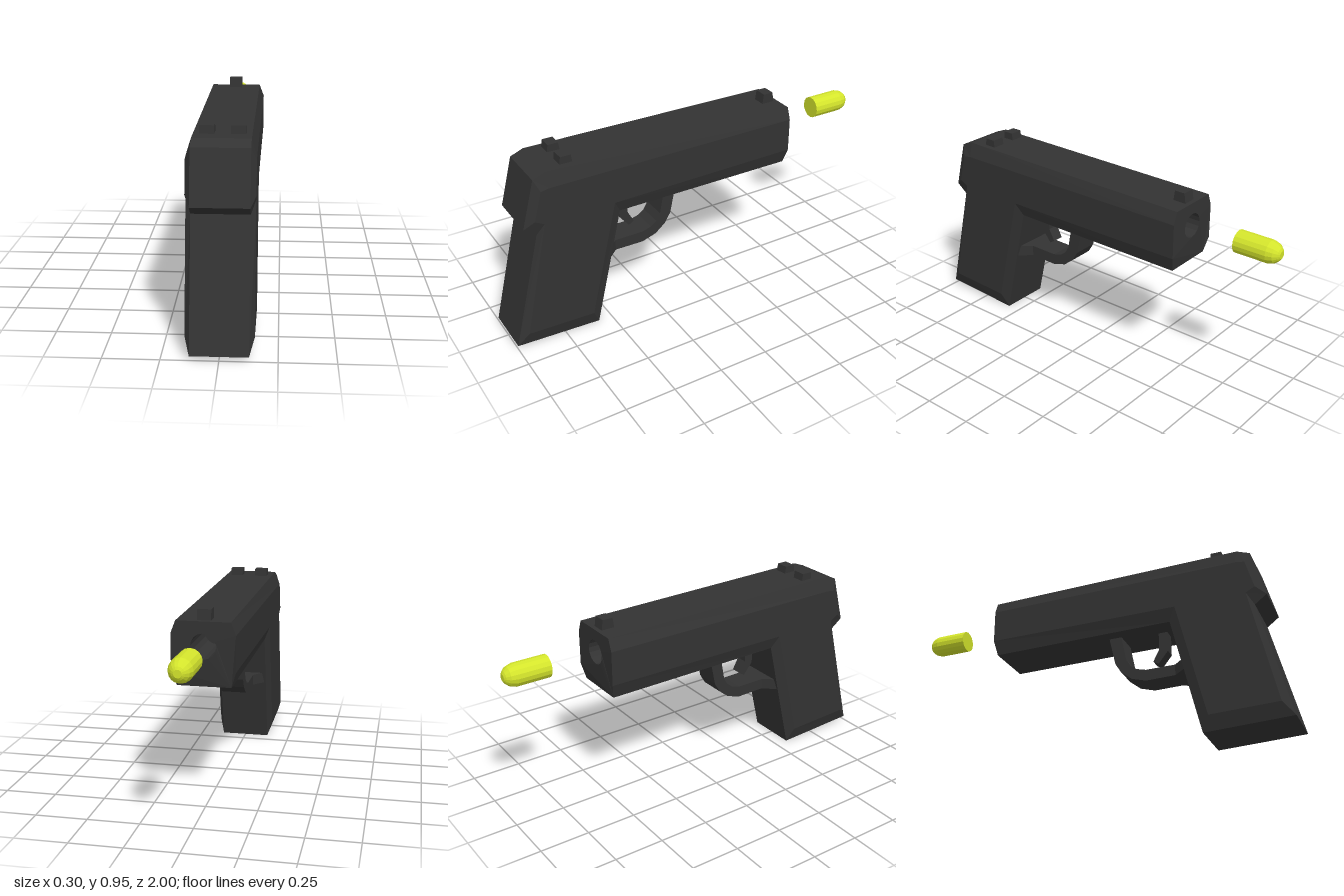
import * as THREE from 'three';

const dark = new THREE.MeshStandardMaterial({ color: 0x333333, flatShading: true });
const yellow = new THREE.MeshStandardMaterial({ color: 0xd4e52c, flatShading: true });

// Skins rings of [x, y, z] points and closes both ends with the given cap triangles
function loft(rings, cap, skipEdge = -1) {
  const pos = [];
  const tri = (a, b, c) => pos.push(...a, ...b, ...c);
  const n = rings[0].length;
  for (let r = 0; r < rings.length - 1; r++) {
    const A = rings[r], B = rings[r + 1];
    for (let i = 0; i < n; i++) {
      if (i === skipEdge) continue;
      const j = (i + 1) % n;
      tri(A[i], B[i], B[j]);
      tri(A[i], B[j], A[j]);
    }
  }
  const first = rings[0], last = rings[rings.length - 1];
  for (const [a, b, c] of cap) {
    tri(first[a], first[b], first[c]);
    tri(last[a], last[c], last[b]);
  }
  const g = new THREE.BufferGeometry();
  g.setAttribute('position', new THREE.Float32BufferAttribute(pos, 3));
  g.computeVertexNormals();
  return g;
}

// Rectangular strip through sections [frontZ, frontY, backZ, backY, halfWidth]
function strip(sections) {
  const rings = sections.map(([oz, oy, iz, iy, w]) =>
    [[w, oy, oz], [-w, oy, oz], [-w, iy, iz], [w, iy, iz]]);
  return loft(rings, [[0, 1, 2], [0, 2, 3]]);
}

export function createModel() {
  const model = new THREE.Group();
  const add = (name, geometry, material = dark, parent = model) => {
    const mesh = new THREE.Mesh(geometry, material);
    mesh.name = name;
    parent.add(mesh);
    return mesh;
  };

  // Slide and grip: side profile [z, y], with a smaller profile on each flank for the bevel
  const outer = [[0.85, 0.89], [0.785, 0.915], [-0.53, 0.9], [-0.515, 0.595], [0.43, 0.6],
    [0.57, 0], [1, 0.02], [0.855, 0.605], [0.915, 0.65]];
  const inner = [[0.825, 0.835], [0.78, 0.842], [-0.53, 0.84], [-0.53, 0.67], [0.465, 0.665],
    [0.605, 0.075], [0.945, 0.088], [0.82, 0.665], [0.865, 0.69]];
  const ring = (profile, x) => profile.map(([z, y]) => [x, y, z]);
  const cap = THREE.ShapeUtils.triangulateShape(inner.map(p => new THREE.Vector2(...p)), []);
  add('slideAndGrip', loft([ring(inner, -0.15), ring(outer, -0.127),
    ring(outer, 0.127), ring(inner, 0.15)], cap, 2));

  // Muzzle face with the bore opening
  const boreY = 0.785, boreR = 0.06, boreDepth = 0.3;
  const half = [[0.127, 0.595], [0.15, 0.67], [0.15, 0.84], [0.127, 0.9]];
  const outline = [...half, ...half.map(([x, y]) => [-x, y]).reverse()];
  const face = new THREE.Shape(outline.map(p => new THREE.Vector2(...p)));
  face.holes.push(new THREE.Path().absarc(0, boreY, boreR, 0, Math.PI * 2, true));
  const muzzle = new THREE.ShapeGeometry(face, 8).rotateY(Math.PI).translate(0, 0, -0.53);
  const mp = muzzle.attributes.position;
  for (let i = 0; i < mp.count; i++) if (mp.getY(i) < 0.6) mp.setZ(i, -0.515);
  add('muzzleFace', muzzle);

  // Bore wall and end
  const boreMaterial = dark.clone();
  boreMaterial.side = THREE.BackSide;
  add('bore', new THREE.CylinderGeometry(boreR, boreR, boreDepth, 16, 1, true)
    .rotateX(Math.PI / 2).translate(0, boreY, -0.53 + boreDepth / 2), boreMaterial);
  add('boreEnd', new THREE.CircleGeometry(boreR, 16)
    .rotateY(Math.PI).translate(0, boreY, -0.53 + boreDepth));

  // Sights: small blocks, slightly narrower in length at the top
  const sight = (name, x, z) => {
    const g = new THREE.BoxGeometry(0.065, 0.06, 0.07);
    const p = g.attributes.position;
    for (let i = 0; i < p.count; i++) if (p.getY(i) > 0) p.setZ(i, p.getZ(i) * 0.75);
    add(name, g).position.set(x, 0.92, z);
  };
  sight('frontSight', 0, -0.475);
  for (const s of [-1, 1]) sight(s > 0 ? 'rearSightLeft' : 'rearSightRight', s * 0.0675, 0.675);

  // Trigger guard, flaring where it meets the grip
  add('triggerGuard', strip([
    [0.085, 0.62, 0.15, 0.62, 0.065],
    [0.12, 0.455, 0.178, 0.47, 0.065],
    [0.15, 0.405, 0.2, 0.432, 0.065],
    [0.205, 0.36, 0.232, 0.408, 0.065],
    [0.28, 0.337, 0.28, 0.395, 0.065],
    [0.43, 0.34, 0.43, 0.396, 0.065],
    [0.5, 0.34, 0.5, 0.398, 0.127],
  ]));

  // Trigger
  add('trigger', strip([
    [0.34, 0.62, 0.385, 0.62, 0.03],
    [0.34, 0.51, 0.385, 0.495, 0.03],
    [0.308, 0.45, 0.335, 0.433, 0.03],
  ]));

  // Bullet: lathe profile from flat base to blunt nose, pointing to -z
  const bullet = [[0, 0], [0.055, 0], [0.055, 0.165], [0.046, 0.195], [0.03, 0.213], [0.018, 0.22], [0, 0.22]];
  add('bullet', new THREE.LatheGeometry(bullet.map(p => new THREE.Vector2(...p)), 16)
    .rotateX(-Math.PI / 2).translate(0, boreY, -0.78), yellow);

  return model;
}
